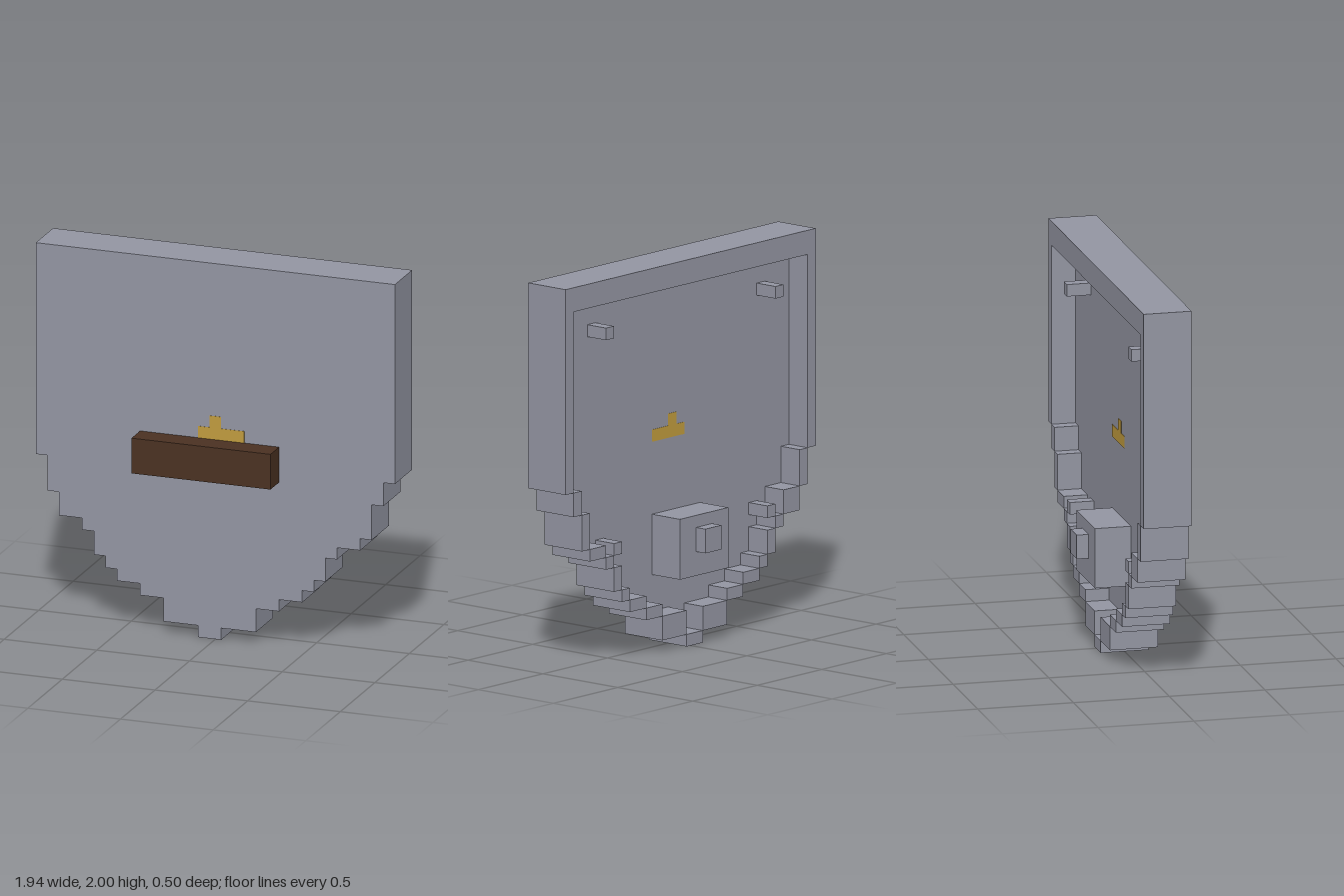
import * as THREE from 'three';

const U = 0.0625; // edge of one cell

const mat = (name, color) => {
  const m = new THREE.MeshStandardMaterial({ color });
  m.name = name;
  return m;
};

export function createModel() {
  const group = new THREE.Group();
  group.name = 'shield';
  const grey = mat('steel grey', 0x9395a2);
  const brown = mat('dark wood', 0x4a3122);
  const gold = mat('gold', 0xc09b3e);

  // cell column / row / layer to position
  const X = k => (k - 15.5) * U;
  const Y = j => j * U;

  // box spanning columns a..b, rows c..d, layers e..f (layer 0 is the recess floor)
  function box(name, material, a, b, c, d, e, f, parent = group) {
    const mesh = new THREE.Mesh(new THREE.BoxGeometry((b - a) * U, (d - c) * U, (f - e) * U), material);
    mesh.position.set((X(a) + X(b)) / 2, (Y(c) + Y(d)) / 2, (e + f) / 2 * U);
    mesh.name = name;
    parent.add(mesh);
  }

  // stepped sides, from the tip upward: [outer column, bottom row]
  const leftSteps = [[11, 1], [9, 3], [7, 4], [6, 5], [5, 6], [4, 8], [2, 9], [1, 11], [0, 14]];
  const rightSteps = [[19, 1], [21, 3], [23, 4], [24, 5], [25, 6], [26, 8], [28, 9], [29, 10], [30, 13], [31, 15]];
  const top = 32;

  // front plate
  const outline = [[14, 0], [16, 0]];
  let col = 16;
  for (const [k, j] of rightSteps) {
    outline.push([col, j], [k, j]);
    col = k;
  }
  outline.push([31, top], [0, top]);
  for (let i = leftSteps.length - 1; i >= 0; i--) {
    const [k, j] = leftSteps[i];
    outline.push([k, j], [i ? leftSteps[i - 1][0] : 14, j]);
  }
  const shape = new THREE.Shape(outline.map(([k, j]) => new THREE.Vector2(X(k), Y(j))));
  const plate = new THREE.Mesh(
    new THREE.ExtrudeGeometry(shape, { depth: 2 * U, bevelEnabled: false }), grey);
  plate.name = 'frontPlate';
  group.add(plate);

  // raised rim on the back, one block per step
  const rim = new THREE.Group();
  rim.name = 'backRim';
  group.add(rim);
  box('rimTip', grey, 14, 16, 0, 1, -2, 0, rim);
  box('rimTop', grey, 0, 31, 30, top, -2, 0, rim);
  for (const [steps, start] of [[leftSteps, 14], [rightSteps, 16]]) {
    let inner = start;
    steps.forEach(([k, j], i) => {
      const up = i + 1 < steps.length ? steps[i + 1][1] : 30;
      box('rimStep', grey, Math.min(inner, k), Math.max(inner, k), j, up, -2, 0, rim);
      inner = k;
    });
  }

  // four pegs inside the recess
  for (const [k, j] of [[4, 27], [25, 27], [5, 9], [24, 9]]) box('peg', grey, k, k + 1, j, j + 1, -2, 0);

  // block and knob on the back
  box('backBlock', grey, 12, 18, 6, 11, -3, 0);
  box('backKnob', grey, 14, 16, 8, 10, -4, -3);

  // wooden bar on the front
  box('frontBar', brown, 9, 21, 14, 17, 2, 4);

  // gold inlay passing through the plate
  box('inlayBase', gold, 14, 18, 17, 18, -0.03, 2.03);
  box('inlayTip', gold, 15, 16, 18, 19, -0.03, 2.03);

  return group;
}
